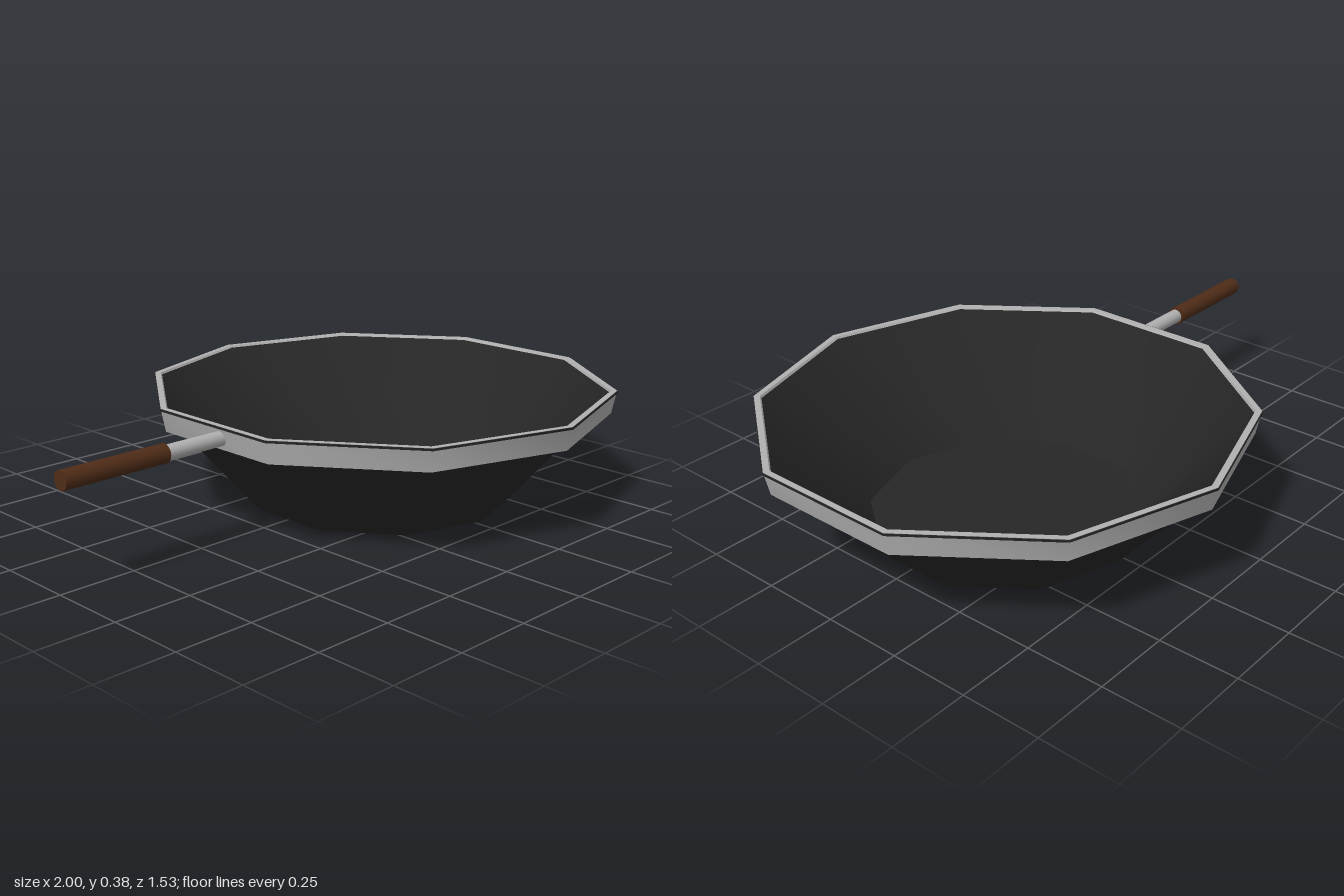
import * as THREE from 'three';
import { toCreasedNormals } from 'three/addons/utils/BufferGeometryUtils.js';

const SIDES = 10;
const CENTER_X = 0.27;

export function createModel() {
  const group = new THREE.Group();
  group.name = 'pan';

  const material = (name, color) => {
    const m = new THREE.MeshStandardMaterial({ color });
    m.name = name;
    return m;
  };
  const iron = material('black iron', 0x262626);
  const steel = material('steel', 0xb0b0b0);
  const wood = material('dark wood', 0x4f2c17);

  const add = (name, geometry, mat, x, y, z) => {
    const mesh = new THREE.Mesh(geometry, mat);
    mesh.name = name;
    mesh.position.set(x, y, z);
    group.add(mesh);
    return mesh;
  };

  // Ten-sided turned shape; sides blend softly, profile corners stay sharp
  const turned = (name, profile, mat) => {
    const points = profile.map(([r, y]) => new THREE.Vector2(r, y));
    const geometry = new THREE.LatheGeometry(points, SIDES);
    return add(name, toCreasedNormals(geometry, 0.68), mat, CENTER_X, 0, 0);
  };

  // Bowl: outer floor and wall, then back down the inside
  turned('bowl', [
    [0, 0], [0.437, 0], [0.7, 0.3], [0.738, 0.345],
    [0.742, 0.374], [0.43, 0.02], [0, 0.02],
  ], iron);

  // Steel band around the mouth
  turned('rimBand', [
    [0.695, 0.3], [0.745, 0.3], [0.76, 0.375], [0.741, 0.375], [0.695, 0.3],
  ], steel);

  // Thin dark edge along the top of the band
  turned('rimEdge', [
    [0.757, 0.367], [0.762, 0.367], [0.763, 0.374], [0.757, 0.374],
  ], iron);

  // Handle: steel rod and wooden grip lying along x
  const rod = (name, radius, x0, x1, mat) => {
    const geometry = new THREE.CylinderGeometry(radius, radius, x1 - x0, 16);
    geometry.rotateZ(Math.PI / 2);
    add(name, geometry, mat, (x0 + x1) / 2, 0.336, 0.033);
  };
  rod('handleRod', 0.023, -0.66, -0.43, steel);
  rod('handleGrip', 0.029, -1, -0.65, wood);

  return group;
}
